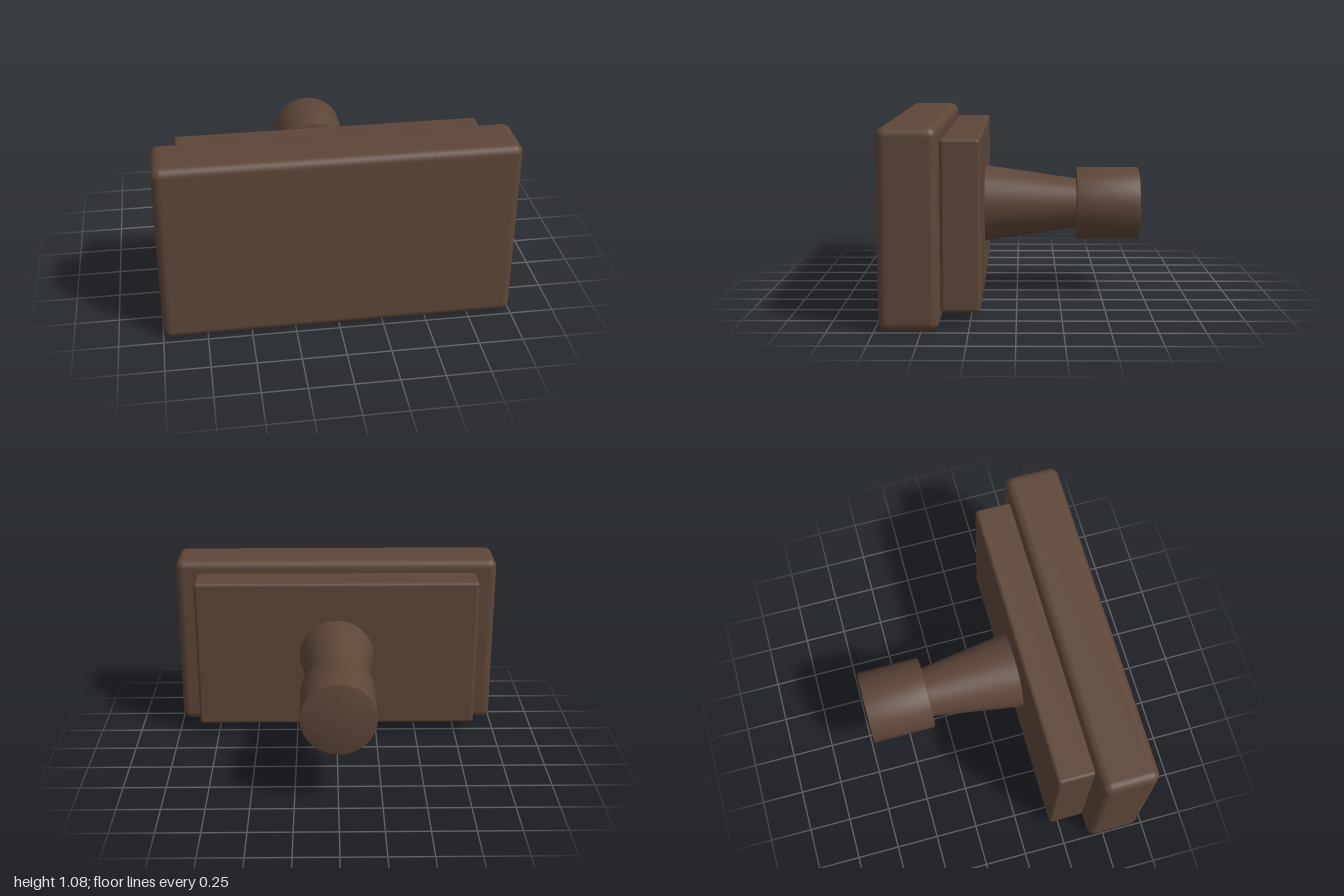
import * as THREE from 'three';
import { RoundedBoxGeometry } from 'three/addons/geometries/RoundedBoxGeometry.js';
import { toCreasedNormals } from 'three/addons/utils/BufferGeometryUtils.js';

const CENTRE_Y = 0.542;

export function createModel() {
  const group = new THREE.Group();
  const wood = new THREE.MeshStandardMaterial({ color: 0x5c4637 });

  const add = (name, geometry, z = 0) => {
    const mesh = new THREE.Mesh(geometry, wood);
    mesh.name = name;
    mesh.position.set(0, CENTRE_Y, z);
    group.add(mesh);
  };

  // Turned part along the depth axis; profile is [radius, distance towards the back]
  const turned = (profile) => {
    const points = profile.map(([r, d]) => new THREE.Vector2(r, d));
    const geometry = new THREE.LatheGeometry(points, 64).rotateX(-Math.PI / 2);
    return toCreasedNormals(geometry, 0.5);
  };

  // Stacked rounded slabs
  add('frontBlock', new RoundedBoxGeometry(2, 1.08, 0.322, 5, 0.05), 0.566);
  add('backingPlate', new RoundedBoxGeometry(1.734, 0.936, 0.215, 4, 0.02), 0.2975);

  // Tapered neck, set slightly into the plate and the knob
  add('handleNeck', turned([[0, -0.2], [0.228, -0.2], [0.228, -0.19], [0.148, 0.35], [0.148, 0.37], [0, 0.37]]));

  // Knob with softly eased rims
  add('handleKnob', turned([
    [0, 0.352], [0.207, 0.352], [0.213, 0.354], [0.215, 0.36],
    [0.215, 0.719], [0.213, 0.725], [0.207, 0.727], [0, 0.727],
  ]));

  return group;
}
